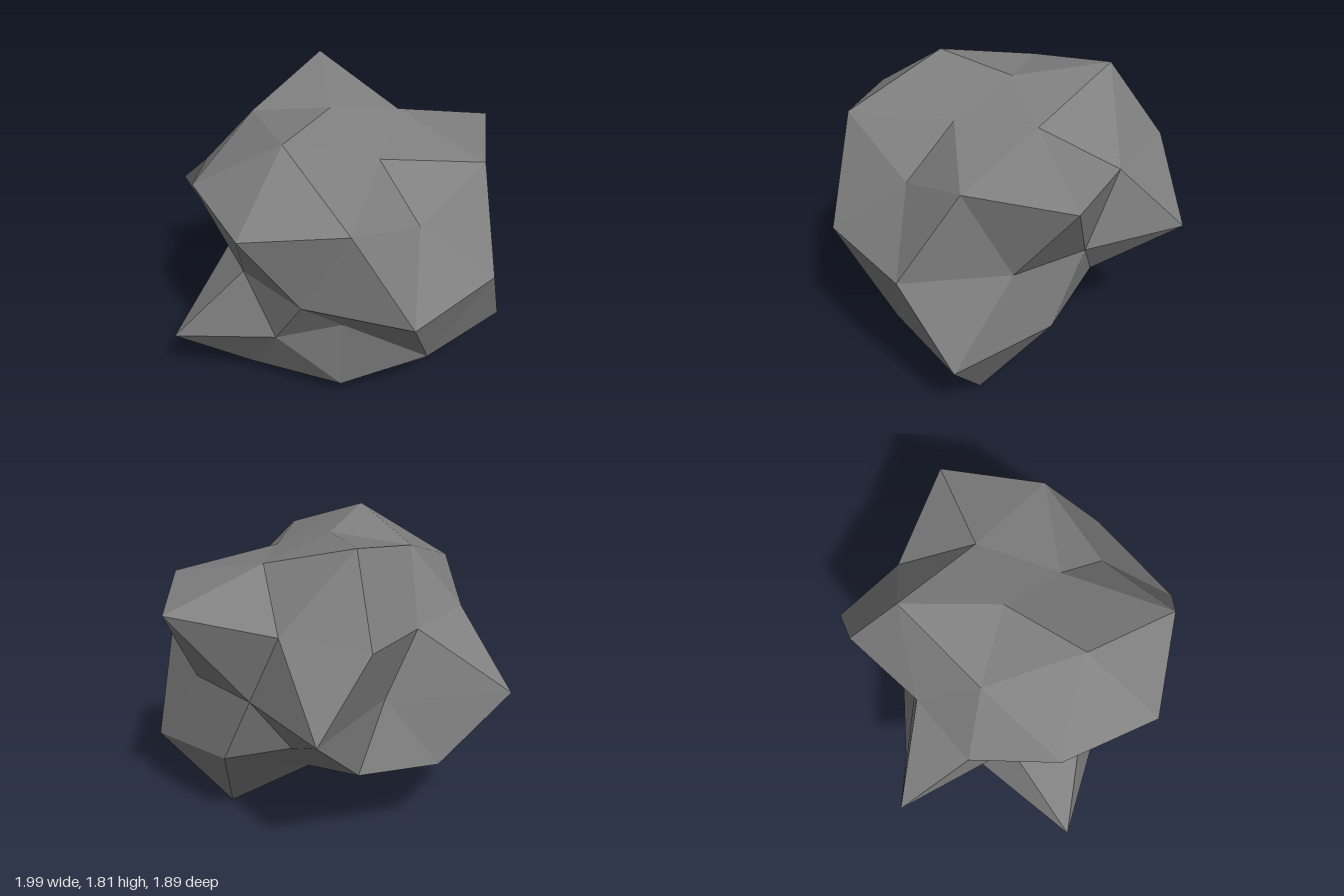
import * as THREE from 'three';

// Rings of a once-subdivided icosahedron: height, radius, start angle (degrees)
// and the distance from the centre of each vertex going round.
const RINGS = {
  upperMid: [0.8507, 0.5257, 0, [0.786, 0.728, 0.935, 0.83, 1.0]],
  upper: [0.4472, 0.8944, 0, [1.118, 0.777, 1.055, 0.81, 0.926]],
  upperEdge: [0.5257, 0.8507, 36, [1.005, 1.057, 0.943, 0.7, 0.817]],
  equator: [0, 1, 18, [0.757, 1.023, 1.04, 0.78, 0.65, 0.546, 1.046, 0.55, 0.996, 0.66]],
  lowerEdge: [-0.5257, 0.8507, 0, [0.81, 0.943, 0.74, 0.66, 0.735]],
  lower: [-0.4472, 0.8944, 36, [1.127, 0.635, 1.11, 0.857, 0.615]],
  lowerMid: [-0.8507, 0.5257, 36, [1.122, 0.944, 1.019, 0.53, 0.6]],
};
const TOP = 0.77, BOTTOM = 0.548;
const CENTRE = new THREE.Vector3(-0.005, 0.956, -0.098);

function makeRing([height, radius, start, distances]) {
  const n = distances.length;
  const points = distances.map((d, i) => {
    const angle = THREE.MathUtils.degToRad(start + (i * 360) / n);
    return new THREE.Vector3(radius * Math.cos(angle), height, radius * Math.sin(angle)).multiplyScalar(d);
  });
  return (i) => points[i % n];
}

function rockGeometry() {
  const r = {};
  for (const name in RINGS) r[name] = makeRing(RINGS[name]);
  const top = new THREE.Vector3(0, TOP, 0);
  const bottom = new THREE.Vector3(0, -BOTTOM, 0);
  const points = [];

  // One large face as four small ones: corners a, b, c and edge points between them
  const face = (a, b, c, ab, bc, ca) =>
    points.push(a, ab, ca, ab, b, bc, ca, bc, c, ab, bc, ca);

  for (let k = 0; k < 5; k++) {
    const n = k + 1;
    face(r.upper(k), top, r.upper(n), r.upperMid(k), r.upperMid(n), r.upperEdge(k));
    face(r.upper(k), r.upper(n), r.lower(k), r.upperEdge(k), r.equator(2 * k + 1), r.equator(2 * k));
    face(r.lower(k), r.upper(n), r.lower(n), r.equator(2 * k + 1), r.equator(2 * k + 2), r.lowerEdge(n));
    face(r.lower(k), r.lower(n), bottom, r.lowerEdge(n), r.lowerMid(n), r.lowerMid(k));
  }

  const geometry = new THREE.BufferGeometry().setFromPoints(points);
  geometry.computeVertexNormals(); // unshared corners give flat facets
  return geometry;
}

export function createModel() {
  const stone = new THREE.MeshStandardMaterial({ color: 0x808080 });
  stone.name = 'stone grey';
  stone.flatShading = true;

  const rock = new THREE.Mesh(rockGeometry(), stone);
  rock.name = 'rock';
  rock.position.copy(CENTRE);

  const model = new THREE.Group();
  model.name = 'boulder';
  model.add(rock);
  return model;
}
